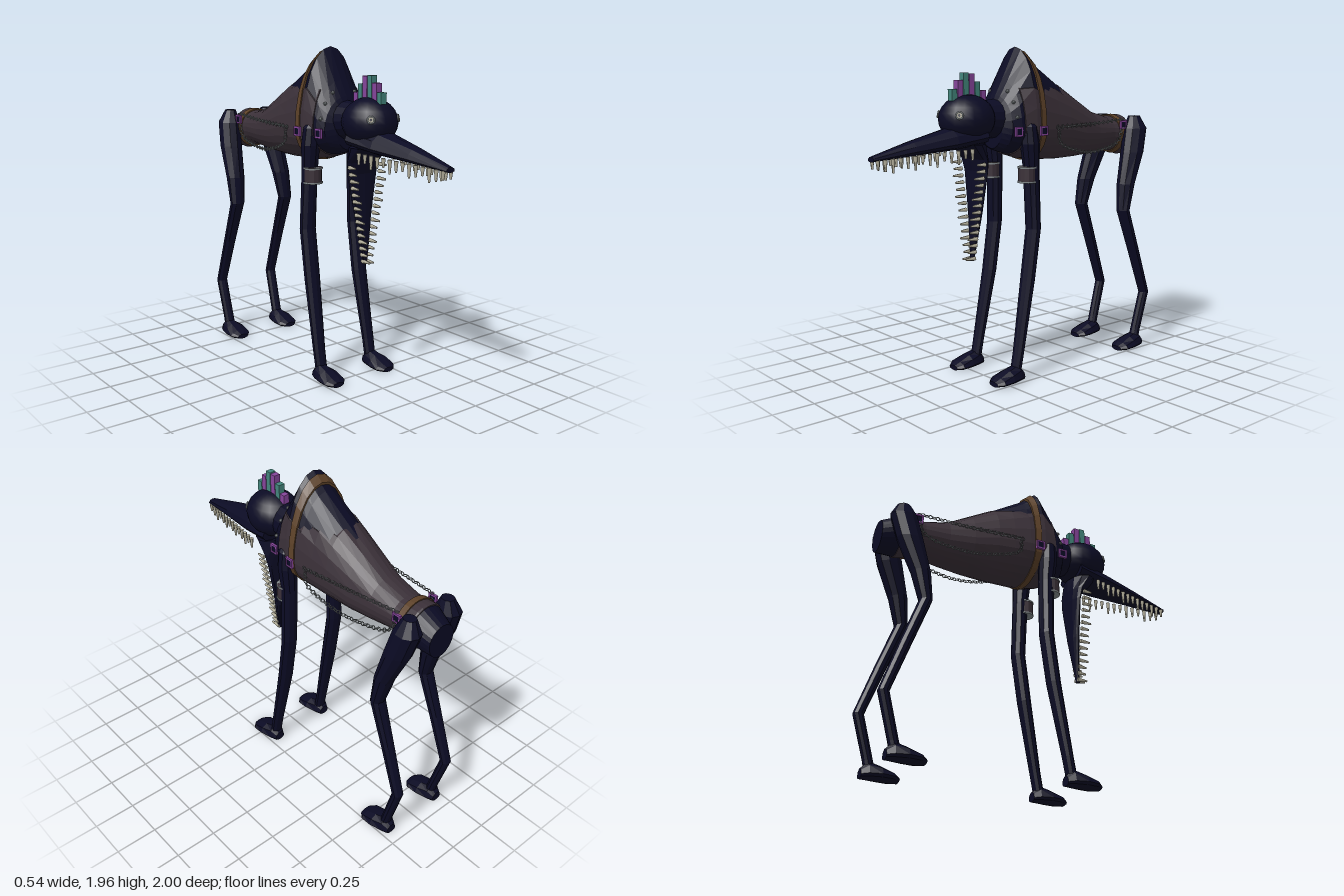
import * as THREE from 'three';

const mat = (name, color, side = THREE.FrontSide) => {
  const m = new THREE.MeshStandardMaterial({ color, side });
  m.name = name;
  return m;
};
const { sin, cos, PI } = Math;

export function createModel() {
  const root = new THREE.Group();
  const hide = mat('navy hide', 0x0b0b24);
  const cloth = mat('dusky cloth', 0x3a3038);
  const leather = mat('brown leather', 0x5c4128);
  const bone = mat('bone', 0xb9b4a0);
  const metal = mat('grey metal', 0x7f8688);
  const purple = mat('purple', 0x85459a);
  const teal = mat('teal', 0x43857c);

  const add = (geo, material, name, pos = [0, 0, 0], rot = [0, 0, 0]) => {
    const m = new THREE.Mesh(geo, material);
    m.name = name;
    m.position.set(...pos);
    m.rotation.set(...rot);
    root.add(m);
    return m;
  };

  // Faceted skin with end caps over equal-length rings
  const loft = (rings) => {
    const n = rings[0].length, pos = [], idx = [];
    rings.forEach((r) => r.forEach((p) => pos.push(...p)));
    const caps = [rings[0], rings[rings.length - 1]].map((r) => {
      pos.push(...[0, 1, 2].map((k) => r.reduce((s, p) => s + p[k], 0) / n));
      return pos.length / 3 - 1;
    });
    const last = (rings.length - 1) * n;
    for (let j = 0; j < n; j++) {
      const k = (j + 1) % n;
      for (let i = 0; i < rings.length - 1; i++) {
        const a = i * n, b = a + n;
        idx.push(a + j, a + k, b + k, a + j, b + k, b + j);
      }
      idx.push(caps[0], k, j, caps[1], last + j, last + k);
    }
    const g = new THREE.BufferGeometry();
    g.setAttribute('position', new THREE.Float32BufferAttribute(pos, 3));
    g.setIndex(idx);
    const flat = g.toNonIndexed();
    flat.computeVertexNormals();
    return flat;
  };
  // Ring across z: [z, half width, centre y, top y, bottom y]
  const ringZ = ([z, w, cy, top, bot], n = 16, grow = 0, x = 0, maxY = 9) =>
    Array.from({ length: n }, (_, i) => {
      const a = (i / n) * 2 * PI, s = sin(a);
      const y = cy + s * ((s > 0 ? top - cy : cy - bot) + grow);
      return [x + (w + grow) * cos(a), Math.min(y, maxY), z];
    });
  // Ring across y: [y, x, z, half width in x, half depth in z]
  const ringY = ([y, x, z, rx, rz], n = 10) =>
    Array.from({ length: n }, (_, i) => {
      const a = (i / n) * 2 * PI;
      return [x + rx * sin(a), y, z + rz * cos(a)];
    });

  // Humped body
  const body = [
    [-1.0, 0.09, 1.38, 1.47, 1.275], [-0.88, 0.12, 1.42, 1.53, 1.28],
    [-0.75, 0.115, 1.43, 1.52, 1.32], [-0.6, 0.13, 1.43, 1.56, 1.3],
    [-0.45, 0.155, 1.44, 1.65, 1.29], [-0.3, 0.175, 1.47, 1.74, 1.285],
    [-0.1, 0.195, 1.48, 1.87, 1.295], [0, 0.2, 1.48, 1.96, 1.31],
    [0.1, 0.185, 1.48, 1.77, 1.34], [0.15, 0.16, 1.49, 1.68, 1.355],
    [0.18, 0.1, 1.5, 1.62, 1.37],
  ];
  const section = (z) => {
    const i = Math.max(1, body.findIndex((b) => b[0] >= z));
    const a = body[i - 1], b = body[i], t = (z - a[0]) / (b[0] - a[0]);
    return a.map((v, k) => v + (b[k] - v) * t);
  };
  add(loft(body.map((b) => ringZ(b, 24))), hide, 'body');

  // Cloth wrapped round the trunk, leaving the hump bare
  const clothZ = [-0.89, -0.88, -0.75, -0.6, -0.45, -0.3, -0.2, -0.1, 0, 0.08];
  add(loft(clothZ.map((z) => ringZ(section(z), 24, 0.006, 0, 1.735))), cloth, 'trunkCloth');

  // Straps
  for (const [z0, z1, name] of [[-0.07, -0.03, 'girthStrap'], [-0.83, -0.79, 'rearStrap']])
    add(loft([z0, z1].map((z) => ringZ(section(z), 24, 0.013))), leather, name);

  // Neck and head
  add(loft([[0.12, 0.12, 1.54, 1.66, 1.42], [0.28, 0.1, 1.55, 1.65, 1.45]].map((r) => ringZ(r))), hide, 'neck');
  const skull = new THREE.SphereGeometry(1, 18, 12);
  add(skull, hide, 'skull', [0, 1.55, 0.36]).scale.set(0.155, 0.14, 0.17);

  // Long upper snout
  const snout = [
    [0.3, 0.135, 1.45, 1.53, 1.4], [0.5, 0.115, 1.42, 1.505, 1.378],
    [0.75, 0.072, 1.39, 1.445, 1.362], [1.0, 0.03, 1.355, 1.375, 1.345],
  ];
  add(loft(snout.map((r) => ringZ(r, 12))), hide, 'upperSnout');

  // Hanging lower jaw
  const jaw = [
    [0.72, 0, 0.33, 0.013, 0.012], [1.0, 0, 0.305, 0.06, 0.024], [1.25, 0, 0.295, 0.108, 0.026],
    [1.32, 0, 0.305, 0.12, 0.035], [1.41, 0, 0.355, 0.13, 0.085],
  ];
  add(loft(jaw.map((r) => ringY(r, 12))), hide, 'lowerJaw');

  // Teeth along both jaws
  const tooth = (len) => new THREE.CylinderGeometry(0.006, 0.013, len, 5);
  for (const s of [-1, 1]) {
    for (let i = 0; i < 14; i++) {
      const t = i / 13, z = 0.975 - 0.555 * t, len = 0.05 + 0.014 * (i % 3);
      add(tooth(len), bone, 'upperTooth', [s * (0.028 + 0.1 * t), 1.355 + 0.035 * t - len / 2, z], [PI, 0, 0]);
    }
    for (let i = 0; i < 15; i++) {
      const t = i / 14, len = 0.055 + 0.012 * (i % 3 === 0);
      add(tooth(len), bone, 'lowerTooth', [s * (0.014 + 0.1 * t), 0.735 + 0.56 * t, 0.32 + len / 2], [PI / 2, 0, 0]);
    }
  }

  // Eyes: ringed discs set flush in the skull
  for (const s of [-1, 1]) {
    const eye = new THREE.Group();
    eye.name = 'eye';
    const parts = [
      [new THREE.TorusGeometry(0.019, 0.005, 5, 12), metal, 0, 'eyeRing'],
      [new THREE.CircleGeometry(0.017, 12), bone, 0.003, 'eyeWhite'],
      [new THREE.CircleGeometry(0.008, 10), hide, 0.006, 'pupil'],
    ];
    for (const [g, m, z, name] of parts) {
      const p = new THREE.Mesh(g, m);
      p.name = name;
      p.position.z = z;
      eye.add(p);
    }
    eye.position.set(s * 0.1, 1.577, 0.488);
    eye.lookAt(s * 0.24, 1.62, 0.64);
    root.add(eye);
  }

  // Alternating crest blocks on the head
  [1.71, 1.76, 1.805, 1.81, 1.77, 1.72].forEach((top, i) => {
    const h = top - 1.655;
    add(new THREE.BoxGeometry(0.04, h, 0.036), i % 2 ? teal : purple, 'crestBlock',
      [0, 1.655 + h / 2, 0.255 + 0.041 * i]);
  });

  // Legs, feet and leg bands
  const frontLeg = [
    [0.04, 0.19, 0.16, 0.038, 0.03], [0.17, 0.19, 0.135, 0.04, 0.03], [0.6, 0.18, 0.055, 0.051, 0.04],
    [0.9, 0.18, 0.012, 0.052, 0.042], [1.25, 0.168, 0.018, 0.05, 0.048], [1.4, 0.17, 0.03, 0.058, 0.058],
    [1.5, 0.165, 0.035, 0.05, 0.05], [1.54, 0.16, 0.035, 0.02, 0.02],
  ];
  const hindLeg = [
    [0.04, 0.195, -0.875, 0.036, 0.032], [0.1, 0.195, -0.89, 0.034, 0.03], [0.36, 0.2, -0.963, 0.035, 0.032],
    [0.65, 0.195, -0.86, 0.04, 0.036], [0.93, 0.19, -0.757, 0.048, 0.038], [1.1, 0.18, -0.79, 0.06, 0.058],
    [1.3, 0.165, -0.86, 0.07, 0.08], [1.45, 0.15, -0.9, 0.07, 0.082], [1.53, 0.14, -0.9, 0.035, 0.04],
  ];
  const foot = [
    [-0.04, 0.035, 0.02, 0.06, 0], [0, 0.055, 0.025, 0.1, 0], [0.07, 0.073, 0.025, 0.08, 0],
    [0.14, 0.072, 0.02, 0.05, 0], [0.175, 0.04, 0.015, 0.03, 0],
  ];
  const mirror = (r, s) => r.map((v, i) => (i === 1 ? v * s : v));
  for (const s of [-1, 1]) {
    for (const [leg, z, name] of [[frontLeg, 0.155, 'front'], [hindLeg, -0.89, 'hind']]) {
      add(loft(leg.map((r) => ringY(mirror(r, s)))), hide, name + 'Leg');
      add(loft(foot.map((r) => ringZ([r[0] + z, ...r.slice(1)], 10, 0, s * 0.195))), hide, name + 'Foot');
    }
    add(loft([1.18, 1.27].map((y) => ringY([y, s * 0.167, 0.05, 0.054, 0.052], 12))), cloth, 'legBand');
    for (const y of [1.18, 1.265])
      add(loft([y - 0.005, y + 0.005].map((h) => ringY([h, s * 0.167, 0.05, 0.058, 0.056], 12))), metal, 'legBandRim');
  }

  // Square buckles
  const frame = new THREE.Shape([[-1, -1], [1, -1], [1, 1], [-1, 1]].map(([a, b]) => new THREE.Vector2(a * 0.028, b * 0.028)));
  frame.holes.push(new THREE.Path([[-1, -1], [-1, 1], [1, 1], [1, -1]].map(([a, b]) => new THREE.Vector2(a * 0.018, b * 0.018))));
  const frameGeo = new THREE.ExtrudeGeometry(frame, { depth: 0.014, bevelEnabled: false }).translate(0, 0, -0.007);
  for (const s of [-1, 1])
    for (const [x, z] of [[0.213, -0.042], [0.135, -0.805], [0.185, 0.128]]) {
      add(frameGeo, purple, 'buckle', [s * x, 1.475, z], [0, PI / 2, 0]);
      add(new THREE.BoxGeometry(0.008, 0.038, 0.038), hide, 'bucklePlate', [s * x, 1.475, z]);
    }

  // Chains along the flanks: one taut, one drooping
  const link = new THREE.TorusGeometry(0.011, 0.0032, 4, 7);
  const chain = (pts, count, name) => {
    const curve = new THREE.CatmullRomCurve3(pts.map((p) => new THREE.Vector3(...p)));
    for (let i = 0; i < count; i++) {
      const m = add(link, metal, name, curve.getPointAt(i / (count - 1)).toArray());
      const t = curve.getTangentAt(i / (count - 1));
      m.quaternion.setFromUnitVectors(new THREE.Vector3(1, 0, 0), t);
      m.rotateX(i % 2 ? PI / 2 : 0);
    }
  };
  for (const s of [-1, 1]) {
    chain([[s * 0.205, 1.49, -0.16], [s * 0.165, 1.495, -0.5], [s * 0.13, 1.51, -0.8]], 30, 'tautChainLink');
    chain([[s * 0.208, 1.47, -0.17], [s * 0.208, 1.4, -0.18], [s * 0.19, 1.335, -0.36],
      [s * 0.165, 1.325, -0.54], [s * 0.14, 1.38, -0.76], [s * 0.13, 1.47, -0.8]], 42, 'droopingChainLink');
  }

  // Studs round the chest
  const stud = new THREE.IcosahedronGeometry(0.012, 0);
  for (const a of [-0.1, 0.3, 0.7, 1.1]) {
    const [, w, cy, top] = section(0.125);
    for (const s of [-1, 1])
      add(stud, metal, 'chestStud', [s * (w + 0.004) * cos(a), cy + (top - cy + 0.004) * sin(a), 0.125]);
  }
  return root;
}
